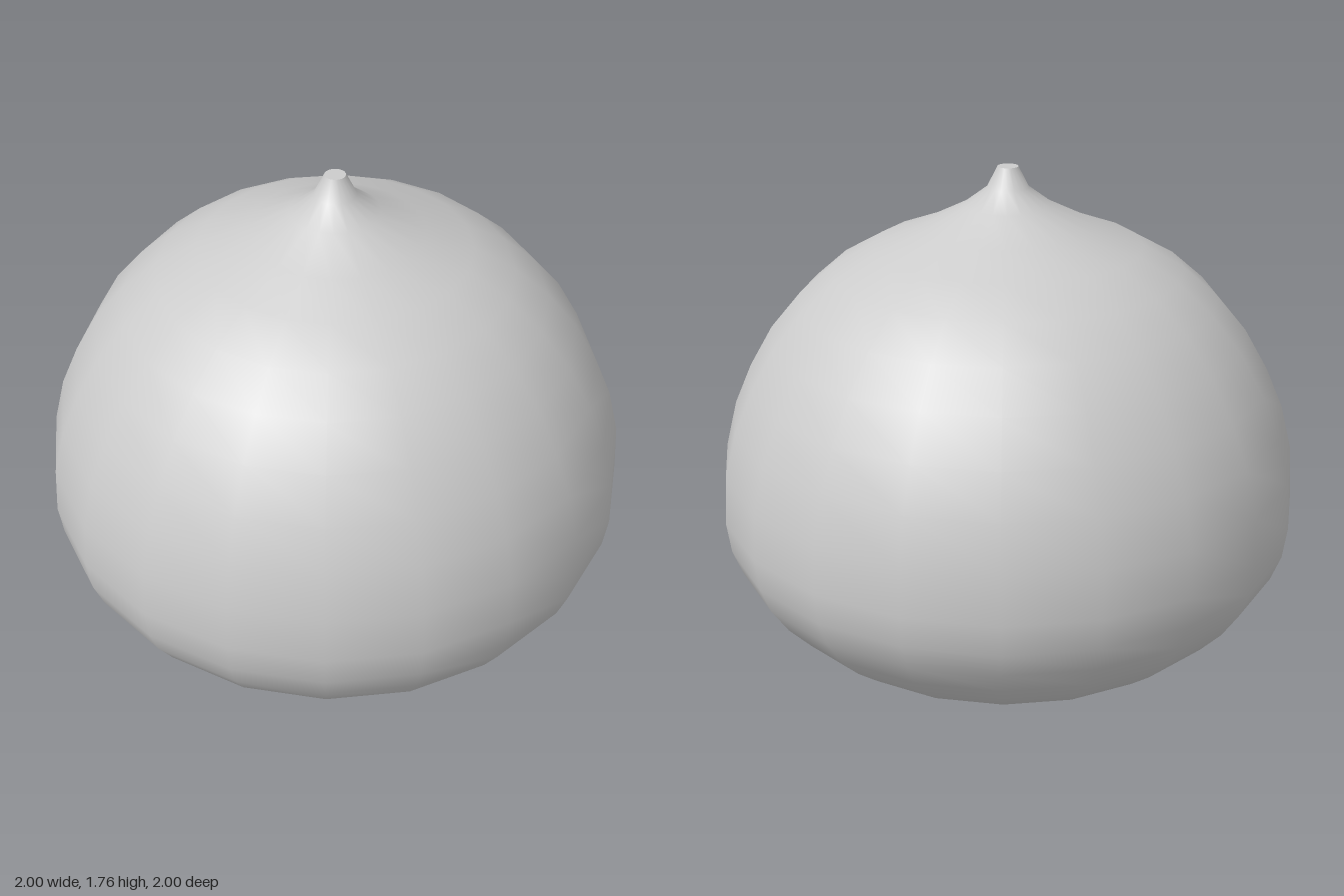
import * as THREE from 'three';

const SIDES = 20;

// Half outline from the underside dimple, round the belly, up to the tip: [radius, height]
const PROFILE = [
  [0.17, 0.04], [0.22, 0.022], [0.31, 0], [0.46, 0.03], [0.6, 0.09], [0.72, 0.155],
  [0.81, 0.225], [0.89, 0.31], [0.95, 0.4], [0.985, 0.49], [1, 0.6], [0.99, 0.76],
  [0.95, 0.92], [0.89, 1.06], [0.81, 1.2], [0.71, 1.32], [0.595, 1.42], [0.455, 1.5],
  [0.3, 1.56], [0.15, 1.635], [0.07, 1.695], [0.035, 1.765],
];

export function createModel() {
  const model = new THREE.Group();
  model.name = 'teardropBulb';
  const material = new THREE.MeshStandardMaterial({ color: 0xcccccc });

  const add = (name, geometry) => {
    const mesh = new THREE.Mesh(geometry, material);
    mesh.name = name;
    model.add(mesh);
    return mesh;
  };

  // Smooth rounded body with a pinched neck
  add('body', new THREE.LatheGeometry(PROFILE.map(([r, y]) => new THREE.Vector2(r, y)), SIDES));

  // Flat discs closing the tip and the dimple, each with a sharp edge
  const addCap = (name, [radius, height], facing) => {
    const cap = add(name, new THREE.CircleGeometry(radius, SIDES));
    cap.rotation.x = -facing * Math.PI / 2;
    cap.position.y = height;
  };
  addCap('tipCap', PROFILE[PROFILE.length - 1], 1);
  addCap('dimpleCap', PROFILE[0], -1);

  return model;
}
